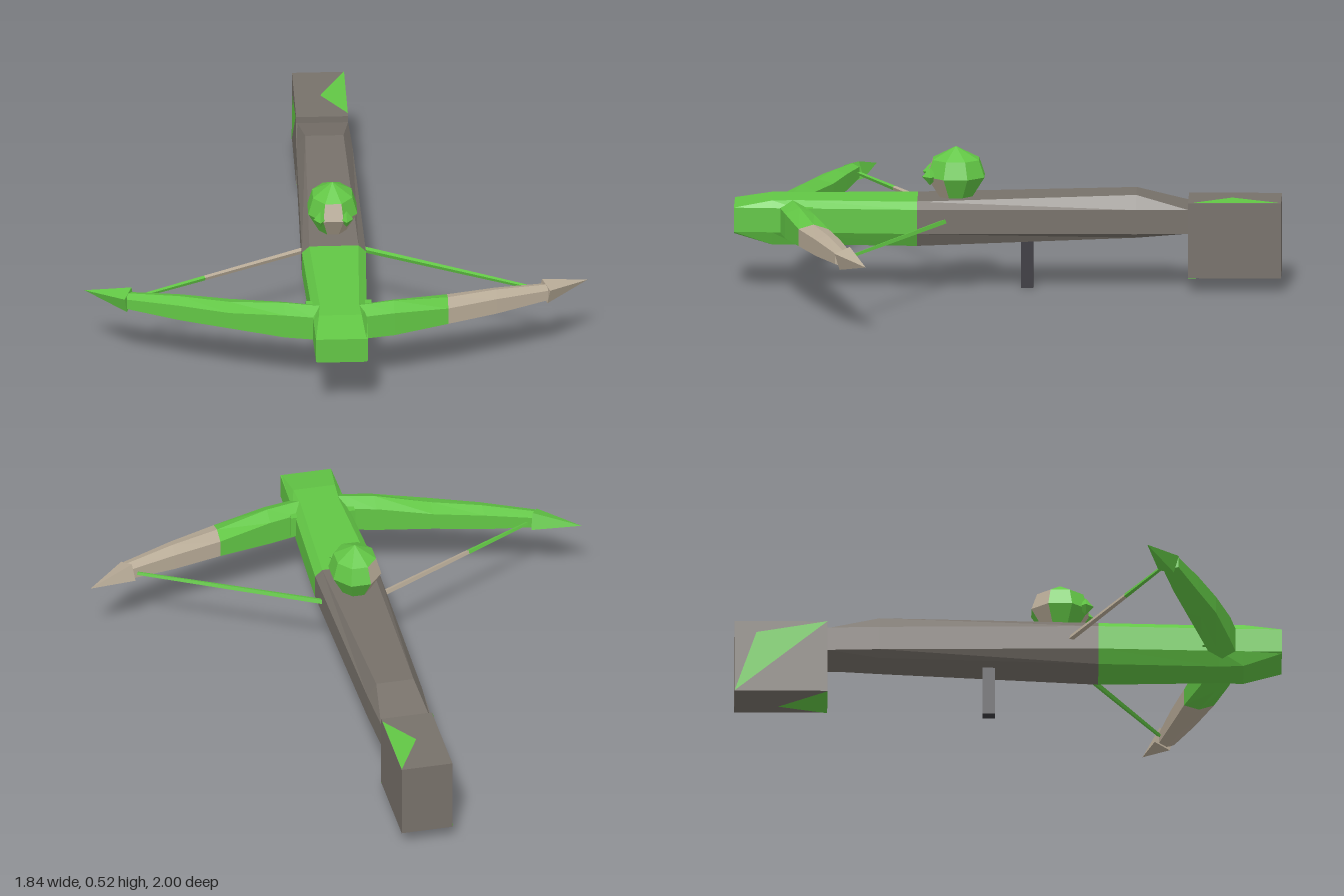
import * as THREE from 'three';

const mat = (color) => new THREE.MeshStandardMaterial({ color, flatShading: true, side: THREE.DoubleSide });
const green = mat(0x62c645), stone = mat(0x77716a), tan = mat(0xb8ab97), dark = mat(0x3d3c42);

function add(parent, name, geometry, material) {
  const mesh = new THREE.Mesh(geometry, material);
  mesh.name = name;
  parent.add(mesh);
  return mesh;
}

// Skin a row of counter-clockwise cross-sections and close both ends
function loft(sections) {
  const pos = [], n = sections[0].length;
  const tri = (a, b, c) => pos.push(...a, ...b, ...c);
  for (let s = 0; s < sections.length - 1; s++) {
    const a = sections[s], b = sections[s + 1];
    for (let i = 0; i < n; i++) {
      const j = (i + 1) % n;
      tri(a[i], a[j], b[j]);
      tri(a[i], b[j], b[i]);
    }
  }
  const first = sections[0], last = sections[sections.length - 1];
  for (let i = 1; i < n - 1; i++) {
    tri(first[0], first[i + 1], first[i]);
    tri(last[0], last[i], last[i + 1]);
  }
  const g = new THREE.BufferGeometry();
  g.setAttribute('position', new THREE.Float32BufferAttribute(pos, 3));
  g.computeVertexNormals();
  return g;
}

// Bevelled eight-sided body section
const bodySection = ([z, w, tw, bottom, top]) => [
  [w, 0.22, z], [w, 0.31, z], [tw, top, z], [-tw, top, z],
  [-w, 0.31, z], [-w, 0.22, z], [-tw, bottom, z], [tw, bottom, z],
];

// Six-sided limb section
const limbSection = (side) => ([x, outer, inner, h]) => {
  const mid = (outer + inner) / 2, y = 0.265, e = h * 0.65;
  return [
    [side * x, y + h, mid], [side * x, y + e, outer], [side * x, y - e, outer],
    [side * x, y - h, mid], [side * x, y - e, inner], [side * x, y + e, inner],
  ];
};

function limbGeometry(side, rows) {
  const sections = rows.map(limbSection(side));
  return loft(side > 0 ? sections : sections.reverse());
}

// Straight tapered rod between two points
function rod(parent, name, from, to, r0, r1, sides, material) {
  const a = new THREE.Vector3(...from), b = new THREE.Vector3(...to);
  const dir = b.clone().sub(a);
  const mesh = add(parent, name, new THREE.CylinderGeometry(r1, r0, dir.length(), sides), material);
  mesh.position.copy(a).add(b).multiplyScalar(0.5);
  mesh.quaternion.setFromUnitVectors(new THREE.Vector3(0, 1, 0), dir.normalize());
  return mesh;
}

// Single coloured triangle lying on a face of the stock
function patch(parent, ...corners) {
  const g = new THREE.BufferGeometry();
  g.setAttribute('position', new THREE.Float32BufferAttribute(corners.flat(), 3));
  g.computeVertexNormals();
  add(parent, 'stockPatch', g, green);
}

export function createModel() {
  const model = new THREE.Group();
  model.name = 'crossbow';

  // Body, in two colours
  const rear = [[-0.66, 0.095, 0.09, 0.22, 0.31], [-0.47, 0.103, 0.07, 0.2, 0.36], [0.33, 0.117, 0.09, 0.17, 0.335]];
  const front = [rear[2], [0.77, 0.1, 0.072, 0.17, 0.335], [0.86, 0.098, 0.078, 0.17, 0.335], [1, 0.095, 0.09, 0.215, 0.31]];
  add(model, 'bodyRear', loft(rear.map(bodySection)), stone);
  add(model, 'bodyFront', loft(front.map(bodySection)), green);

  // Stock block with coloured facets
  const stock = new THREE.Group();
  stock.name = 'stock';
  model.add(stock);
  add(stock, 'stockBlock', new THREE.BoxGeometry(0.19, 0.28, 0.34), stone).position.set(0, 0.195, -0.83);
  patch(stock, [0.095, 0.337, -1], [0, 0.337, -0.82], [0.095, 0.337, -0.68]);
  patch(stock, [-0.097, 0.055, -1], [-0.097, 0.335, -0.66], [-0.097, 0.29, -0.92]);
  patch(stock, [0.095, 0.053, -0.66], [0.04, 0.053, -0.84], [-0.095, 0.053, -0.66]);

  // Trigger
  add(model, 'trigger', new THREE.BoxGeometry(0.045, 0.2, 0.045), dark).position.set(0, 0.1, -0.07);

  // Limbs, tips and strings
  const inner = [[0, 0.85, 0.75, 0.07], [0.1, 0.83, 0.73, 0.07], [0.2, 0.81, 0.705, 0.07], [0.4, 0.757, 0.647, 0.049]];
  const outer = [inner[3], [0.58, 0.69, 0.6, 0.046], [0.77, 0.615, 0.555, 0.03]];
  for (const side of [1, -1]) {
    const label = side > 0 ? 'left' : 'right';
    const limb = new THREE.Group();
    limb.name = label + 'Limb';
    model.add(limb);
    const endMat = side > 0 ? tan : green;
    add(limb, label + 'LimbInner', limbGeometry(side, inner), green);
    add(limb, label + 'LimbOuter', limbGeometry(side, outer), endMat);
    rod(limb, label + 'Tip', [side * 0.76, 0.265, 0.58], [side * 0.92, 0.265, 0.5], 0.046, 0, 4, endMat);
    add(limb, label + 'LimbBrace', new THREE.BoxGeometry(0.03, 0.08, 0.04), green)
      .position.set(side * 0.105, 0.275, 0.73);

    const at = (t) => [side * (0.73 - 0.63 * t), 0.265, 0.56 - 0.335 * t];
    rod(limb, label + 'StringOuter', at(0), at(0.4), 0.007, 0.009, 4, green);
    rod(limb, label + 'StringInner', at(0.4), at(1), 0.009, 0.011, 4, side > 0 ? green : tan);
  }

  // Faceted ball with a few contrasting facets
  const ball = new THREE.Group();
  ball.name = 'ball';
  ball.position.z = 0.19;
  ball.scale.z = 1.17;
  model.add(ball);
  const profile = [[0.05, 0.33], [0.097, 0.415], [0.078, 0.478], [0, 0.525]];
  const tanFacets = ['0,0', '0,1', '1,0', '5,0', '5,1'];
  for (let i = 0; i < 8; i++) {
    for (let band = 0; band < 3; band++) {
      const pts = profile.slice(band, band + 2).map((p) => new THREE.Vector2(...p));
      const g = new THREE.LatheGeometry(pts, 1, (i - 0.5) * Math.PI / 4, Math.PI / 4);
      add(ball, 'ballFacet', g, tanFacets.includes(i + ',' + band) ? tan : green);
    }
  }
  // Small studs on the front of the ball
  for (const side of [1, -1]) {
    const stud = add(ball, 'ballStud', new THREE.OctahedronGeometry(0.025), green);
    stud.position.set(side * 0.048, 0.42, 0.08);
    stud.scale.y = 1.3;
  }

  return model;
}
